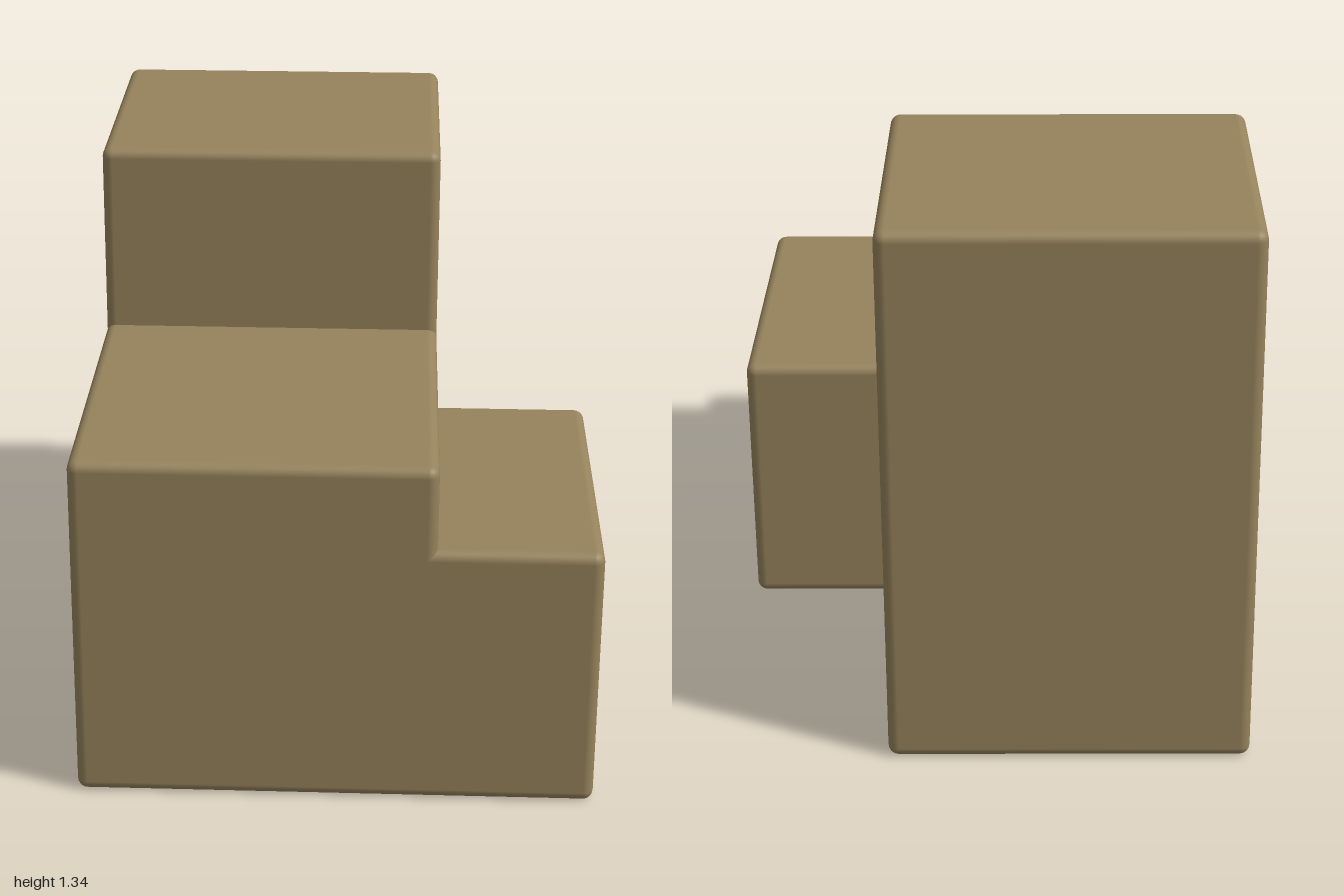
import * as THREE from 'three';
import { RoundedBoxGeometry } from 'three/addons/geometries/RoundedBoxGeometry.js';

const R = 0.025; // edge rounding

export function createModel() {
  const group = new THREE.Group();
  group.name = 'steppedBlocks';
  const material = new THREE.MeshStandardMaterial({ color: 0x96835c });

  // Rounded block standing on the ground, given by its x range, z range and height
  const block = (name, x0, x1, z0, z1, height) => {
    const mesh = new THREE.Mesh(new RoundedBoxGeometry(x1 - x0, height, z1 - z0, 3, R), material);
    mesh.name = name;
    mesh.position.set((x0 + x1) / 2, height / 2, (z0 + z1) / 2);
    group.add(mesh);
  };

  // The lower blocks run 2R into their neighbour so their hidden rounded ends leave no groove
  const left = -0.465, right = 0.386, step = -0.131, front = 0.737;
  block('tallBlock', left, right, -0.894, step, 1.335);
  block('middleBlock', left, right, step - 2 * R, front, 0.863);
  block('lowBlock', right - 2 * R, 0.77, step, front, 0.655);

  // The whole building is turned on its plot
  group.rotation.y = -Math.atan(0.5);
  const model = new THREE.Group();
  model.name = 'model';
  model.add(group);
  return model;
}
